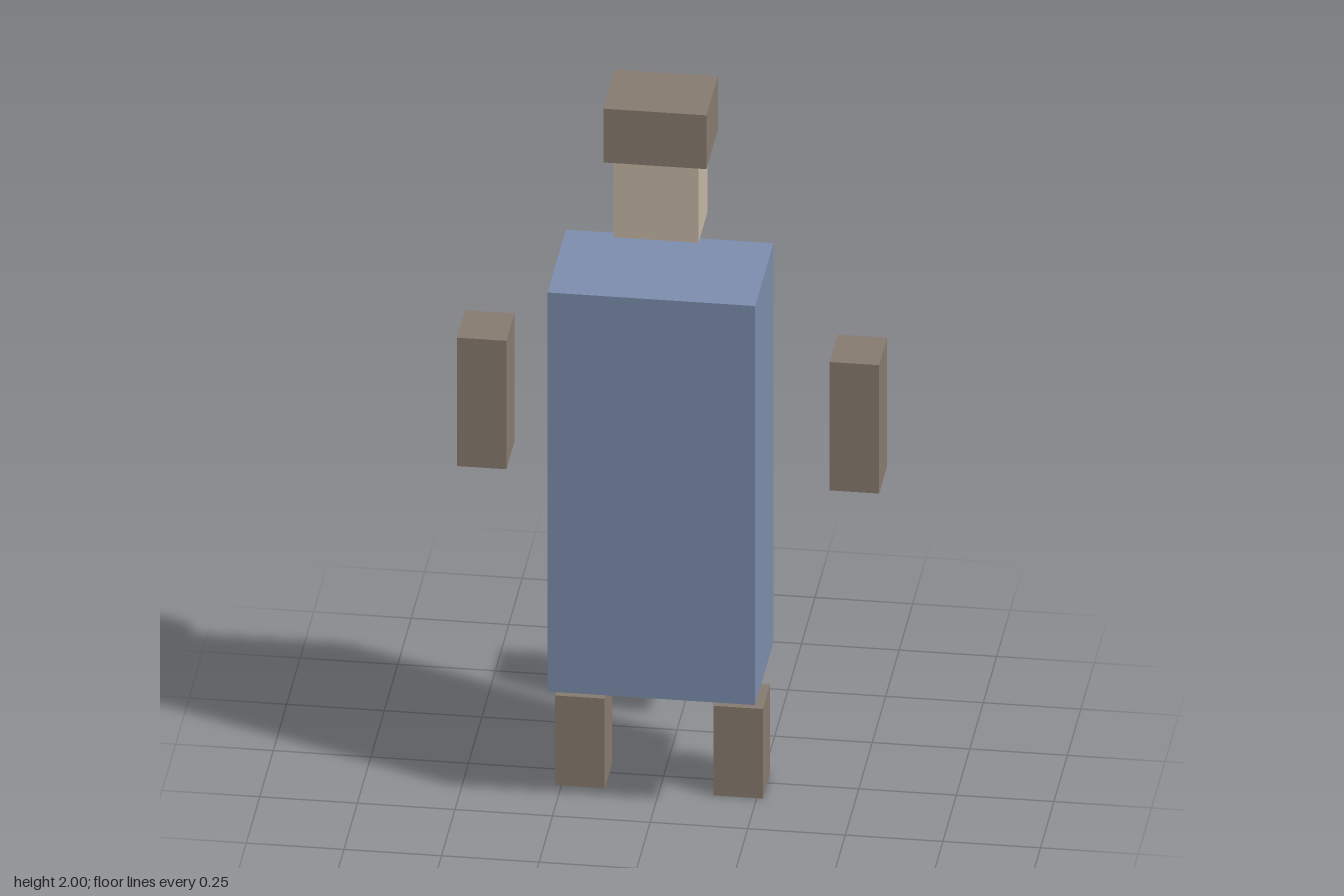
import * as THREE from 'three';

function material(name, color) {
  const m = new THREE.MeshStandardMaterial({ color });
  m.name = name;
  return m;
}

export function createModel() {
  const group = new THREE.Group();
  group.name = 'blockFigure';

  const blue = material('tunicBlue', 0x7d8eae);
  const brown = material('leatherBrown', 0x887c70);
  const skin = material('skinTan', 0xc7b9a7);

  // Box given by its lower and upper corners
  const block = (name, mat, [x0, y0, z0], [x1, y1, z1]) => {
    const mesh = new THREE.Mesh(new THREE.BoxGeometry(x1 - x0, y1 - y0, z1 - z0), mat);
    mesh.position.set((x0 + x1) / 2, (y0 + y1) / 2, (z0 + z1) / 2);
    mesh.name = name;
    group.add(mesh);
    return mesh;
  };

  // Body, head and cap
  block('torso', blue, [-0.266, 0.345, -0.113], [0.266, 1.495, 0.227]);
  block('head', skin, [-0.109, 1.62, -0.024], [0.109, 1.845, 0.141]);
  block('cap', brown, [-0.132, 1.845, -0.05], [0.132, 2, 0.162]);

  // Separate hands and feet, mirrored left and right
  for (const [side, s] of [['left', 1], ['right', -1]]) {
    const hand = block(side + 'Hand', brown, [0.414, 0.81, -0.231], [0.541, 1.18, -0.082]);
    const foot = block(side + 'Foot', brown, [0.139, 0, -0.05], [0.266, 0.258, 0.085]);
    hand.position.x *= s;
    foot.position.x *= s;
  }

  return group;
}
